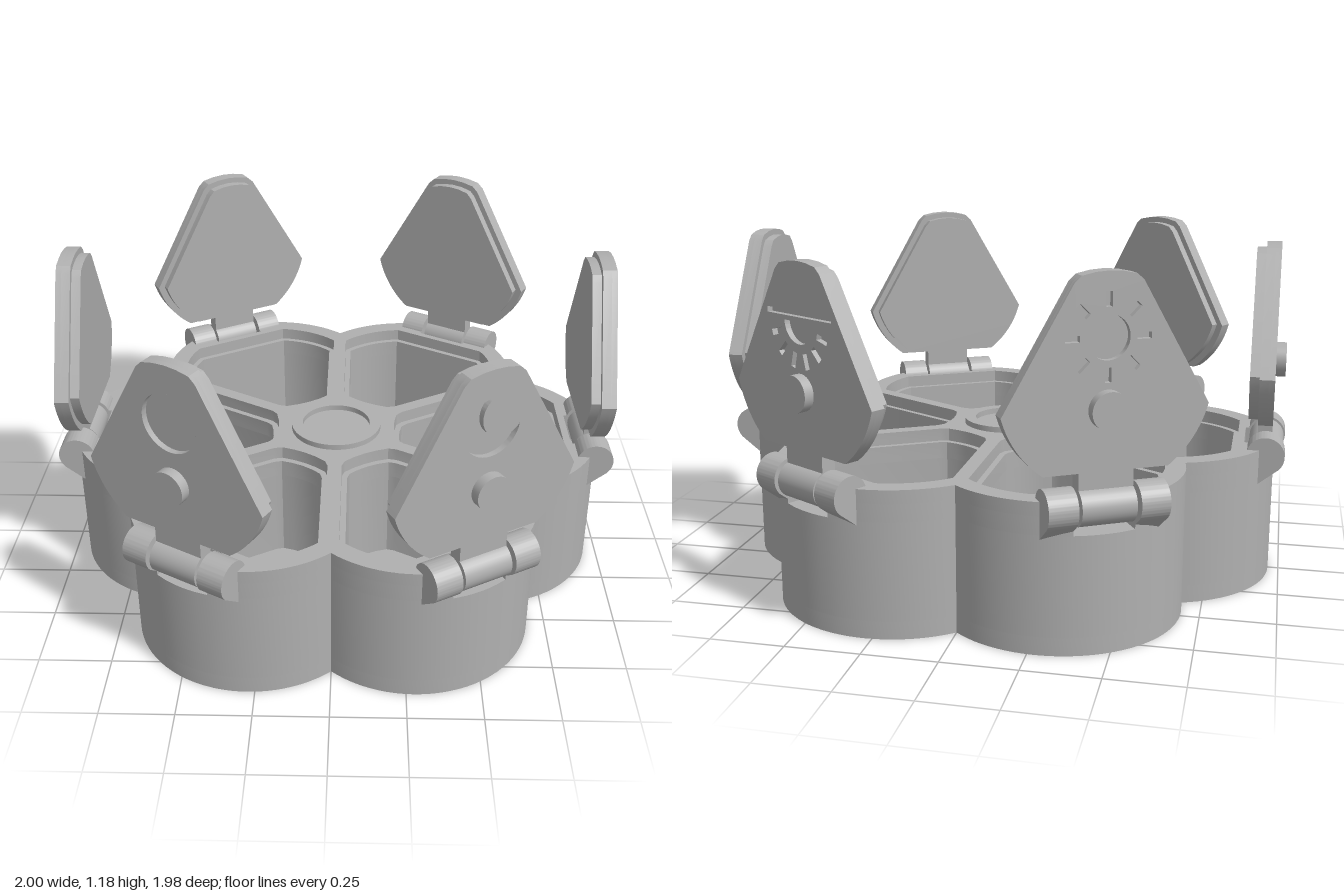
import * as THREE from 'three';
import { toCreasedNormals } from 'three/addons/utils/BufferGeometryUtils.js';

const RAD = Math.PI / 180;
const grey = new THREE.MeshStandardMaterial({ color: 0xb0b0b0 });
grey.name = 'grey plastic';

const PETAL_CENTRE = 0.55, PETAL_RADIUS = 0.413;
const HINGE_Z = 0.935, HINGE_Y = 0.475;

function mesh(name, geometry, parent) {
  const m = new THREE.Mesh(geometry, grey);
  m.name = name;
  parent.add(m);
  return m;
}

function extrude(shape, depth) {
  const g = new THREE.ExtrudeGeometry(shape, { depth, bevelEnabled: false, curveSegments: 32 });
  return toCreasedNormals(g, 0.5);
}

// Rounded wedge outline as [half-width side, radius from the centre] points
function wedge(off, tip, R, flat) {
  const side = [];
  const c = tip + 0.032;
  const cornerW = c * Math.tan(30 * RAD) - off / Math.cos(30 * RAD);
  side.push([cornerW * 0.4, tip + 0.003], [cornerW * 0.8, tip + 0.012], [cornerW, c]);
  const d = PETAL_CENTRE / 2 - off;
  const t = PETAL_CENTRE * Math.cos(30 * RAD) + Math.sqrt(R * R - d * d);
  const w = t * 0.5 - off * 0.866, r = t * 0.866 + off * 0.5;
  const a0 = Math.atan2(r - PETAL_CENTRE, w);
  const a1 = Math.asin((flat - PETAL_CENTRE) / R);
  for (let i = 0; i <= 12; i++) {
    const a = a0 + (a1 - a0) * i / 12;
    side.push([R * Math.cos(a), PETAL_CENTRE + R * Math.sin(a)]);
  }
  const mirrored = side.map(([x, y]) => [-x, y]).reverse();
  return [[0, tip], ...side, ...mirrored];
}

const toVectors = (pts) => pts.map(([x, y]) => new THREE.Vector2(x, y));

// Six-petal outline, optionally notched where the lid hinges turn
function flower(notched) {
  const pts = [];
  const half = 71.7 * RAD, cut = Math.asin(0.1 / PETAL_RADIUS);
  for (let k = 0; k < 6; k++) {
    const local = [];
    const arc = (a, b, n) => {
      for (let i = 0; i <= n; i++) {
        const t = a + (b - a) * i / n;
        local.push([PETAL_CENTRE + PETAL_RADIUS * Math.cos(t), PETAL_RADIUS * Math.sin(t)]);
      }
    };
    arc(-half, -cut, 14);
    if (notched) local.push([0.86, -0.1], [0.86, 0.1]);
    else arc(-cut * 0.6, cut * 0.6, 4);
    arc(cut, half, 14);
    local.pop(); // the next petal starts on this corner
    for (const [x, y] of local) {
      pts.push(new THREE.Vector2(x, y).rotateAround(new THREE.Vector2(), k * 60 * RAD));
    }
  }
  return new THREE.Shape(pts);
}

function bodyLayer(name, y0, y1, notched, pocket, parent) {
  const shape = flower(notched);
  if (pocket) {
    for (let k = 0; k < 6; k++) {
      const pts = toVectors(pocket).map((p) => p.rotateAround(new THREE.Vector2(), (k * 60 + 30) * RAD));
      shape.holes.push(new THREE.Path(pts));
    }
  }
  const m = mesh(name, extrude(shape, y1 - y0).rotateX(-Math.PI / 2), parent);
  m.position.y = y0;
}

// Engraved symbols, given as holes for the outer lid layer
function ray(cx, cy, angle, r0, r1) {
  const c = Math.cos(angle), s = Math.sin(angle), h = 0.01;
  return new THREE.Path([[r0, -h], [r1, -h], [r1, h], [r0, h]].map(
    ([u, v]) => new THREE.Vector2(cx + u * c - v * s, cy + u * s + v * c)));
}

const symbols = {
  moon() {
    const p = new THREE.Path();
    p.absarc(0, 0.99, 0.1, 88 * RAD, 354 * RAD, false);
    p.absarc(0.04, 1.025, 0.075, -37 * RAD, -240.6 * RAD, true);
    return [p];
  },
  sun() {
    const disc = new THREE.Path().absarc(0, 0.99, 0.068, 0, Math.PI * 2, false);
    const rays = [];
    for (let i = 0; i < 8; i++) rays.push(ray(0, 0.99, i * 45 * RAD, 0.09, 0.135));
    return [disc, ...rays];
  },
  sunset() {
    const bar = new THREE.Path(toVectors([[-0.155, 1.012], [0.155, 1.012], [0.155, 1.03], [-0.155, 1.03]]));
    const half = new THREE.Path().absarc(0, 0.997, 0.07, Math.PI, Math.PI * 2, false);
    const rays = [];
    for (let i = 0; i < 6; i++) rays.push(ray(0, 0.985, -(15 + i * 30) * RAD, 0.088, 0.138));
    return [bar, half, ...rays];
  },
};

// An open lid standing on its hinge, facing +z
function makeLid(symbol) {
  const lid = new THREE.Group();
  lid.name = 'lid';
  const upright = (pts) => new THREE.Shape(toVectors(pts.map(([w, r]) => [w, HINGE_Z + HINGE_Y - r])));
  const outline = wedge(0.035, 0.225, 0.34, 0.825);

  const front = upright(outline);
  front.holes.push(...symbols[symbol]());
  mesh('engravedLidFace', extrude(front, 0.02), lid).position.z = 0.935;
  mesh('lidPlate', extrude(upright(outline), 0.03), lid).position.z = 0.905;
  mesh('lidPlug', extrude(upright(wedge(0.055, 0.245, 0.315, 0.81)), 0.032), lid).position.z = 0.873;

  const knob = mesh('lidKnob', new THREE.CylinderGeometry(0.06, 0.06, 0.04, 40).rotateX(Math.PI / 2), lid);
  knob.position.set(0, 0.775, 0.969);

  // Hinge: tab and barrel on the lid, knuckles on the box
  const tab = mesh('hingeTab', new THREE.BoxGeometry(0.176, 0.12, 0.05), lid);
  tab.position.set(0, 0.53, 0.93);
  for (const [name, r, len] of [['hingeBarrel', 0.06, 0.176], ['hingePin', 0.025, 0.22]]) {
    const c = mesh(name, new THREE.CylinderGeometry(r, r, len, 32).rotateZ(Math.PI / 2), lid);
    c.position.set(0, HINGE_Y, HINGE_Z);
  }
  const profile = new THREE.Shape();
  profile.absarc(HINGE_Z, HINGE_Y, 0.065, -45 * RAD, Math.PI, false);
  profile.lineTo(0.87, 0.365);
  profile.lineTo(0.9, 0.365);
  for (const x of [0.195, -0.1]) {
    mesh('hingeKnuckle', extrude(profile, 0.095).rotateY(-Math.PI / 2), lid).position.x = x;
  }
  return lid;
}

export function createModel() {
  const model = new THREE.Group();
  model.name = 'petalBox';

  // Box with six compartments and a ledge for each lid
  const cup = wedge(0.045, 0.235, 0.325, 0.815);
  const ledge = wedge(0.025, 0.215, 0.345, 0.835);
  bodyLayer('boxFloor', 0, 0.06, false, null, model);
  bodyLayer('boxWalls', 0.06, 0.39, false, cup, model);
  bodyLayer('boxUpperWalls', 0.39, 0.45, true, cup, model);
  bodyLayer('boxRim', 0.45, 0.495, true, ledge, model);

  // Raised ring in the middle
  const ring = new THREE.Shape().absarc(0, 0, 0.165, 0, Math.PI * 2, false);
  ring.holes.push(new THREE.Path().absarc(0, 0, 0.125, 0, Math.PI * 2, false));
  mesh('centreRing', extrude(ring, 0.02).rotateX(-Math.PI / 2), model).position.y = 0.495;

  // Lids, turning from the front right round the box
  ['moon', 'sunset', 'sunset', 'sun', 'sun', 'moon'].forEach((symbol, i) => {
    const lid = makeLid(symbol);
    lid.rotation.y = (30 + i * 60) * RAD;
    model.add(lid);
  });
  return model;
}
